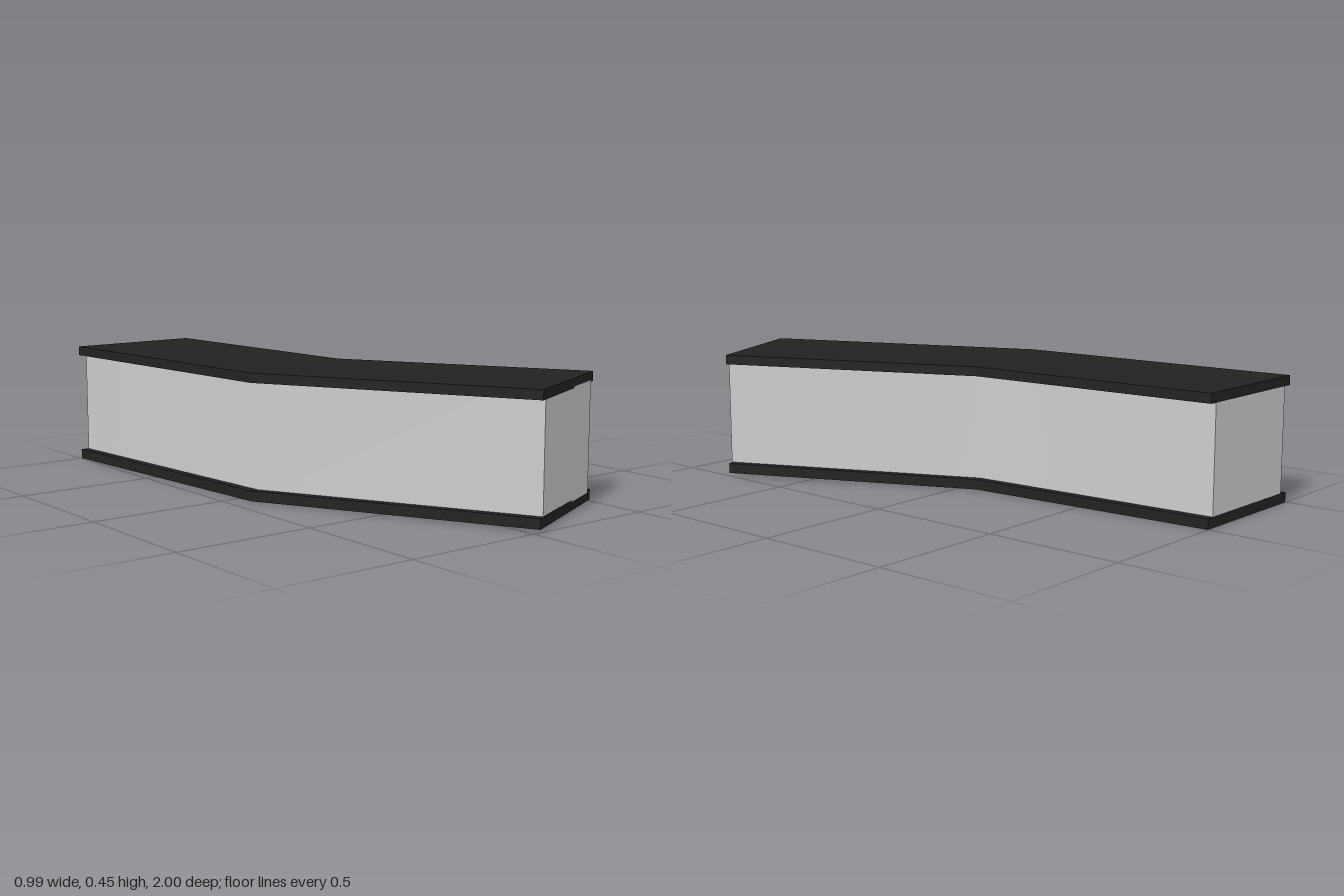
import * as THREE from 'three';

// Plan stations from back to front: [leftX, leftZ, rightX, rightZ, lift]
const slabPlan = [
  [-0.495, -1, 0.0, -0.997, 0],
  [-0.42, 0.065, 0.062, -0.065, 0],
  [0.035, 0.997, 0.49, 0.79, 0.008],
];
const wallPlan = [
  [-0.465, -0.998, -0.03, -0.996, 0],
  [-0.39, 0.06, 0.032, -0.058, 0],
  [0.06, 0.983, 0.465, 0.803, 0.008],
];

// Bent box swept through the stations; each long side can be smooth across the bend
function bentBox(plan, y0, y1, smooth) {
  const rings = plan.map(([lx, lz, rx, rz, lift]) => [
    [lx, y1 + lift, lz], [rx, y1 + lift, rz],
    [rx, y0 + lift, rz], [lx, y0 + lift, lz],
  ]);
  const positions = [], index = [];
  for (let k = 0; k < 4; k++) {
    const base = positions.length / 3;
    for (const ring of rings) positions.push(...ring[k], ...ring[(k + 1) % 4]);
    for (let i = 0; i < rings.length - 1; i++) {
      const a = base + i * 2;
      index.push(a, a + 2, a + 3, a, a + 3, a + 1);
    }
  }
  // End caps
  const last = rings[rings.length - 1];
  for (const corners of [rings[0], [...last].reverse()]) {
    const b = positions.length / 3;
    corners.forEach((p) => positions.push(...p));
    index.push(b, b + 1, b + 2, b, b + 2, b + 3);
  }
  let geometry = new THREE.BufferGeometry();
  geometry.setAttribute('position', new THREE.Float32BufferAttribute(positions, 3));
  geometry.setIndex(index);
  if (!smooth) geometry = geometry.toNonIndexed();
  geometry.computeVertexNormals();
  return geometry;
}

export function createModel() {
  const black = new THREE.MeshStandardMaterial({ color: 0x222222 });
  black.name = 'black';
  const lightGrey = new THREE.MeshStandardMaterial({ color: 0xcccccc });
  lightGrey.name = 'lightGrey';

  const model = new THREE.Group();
  model.name = 'bentCorridor';
  const add = (name, geometry, material) => {
    const mesh = new THREE.Mesh(geometry, material);
    mesh.name = name;
    model.add(mesh);
  };

  add('floorSlab', bentBox(slabPlan, 0, 0.036, false), black);
  add('walls', bentBox(wallPlan, 0.03, 0.418, true), lightGrey);
  add('roofSlab', bentBox(slabPlan, 0.412, 0.446, false), black);
  return model;
}
